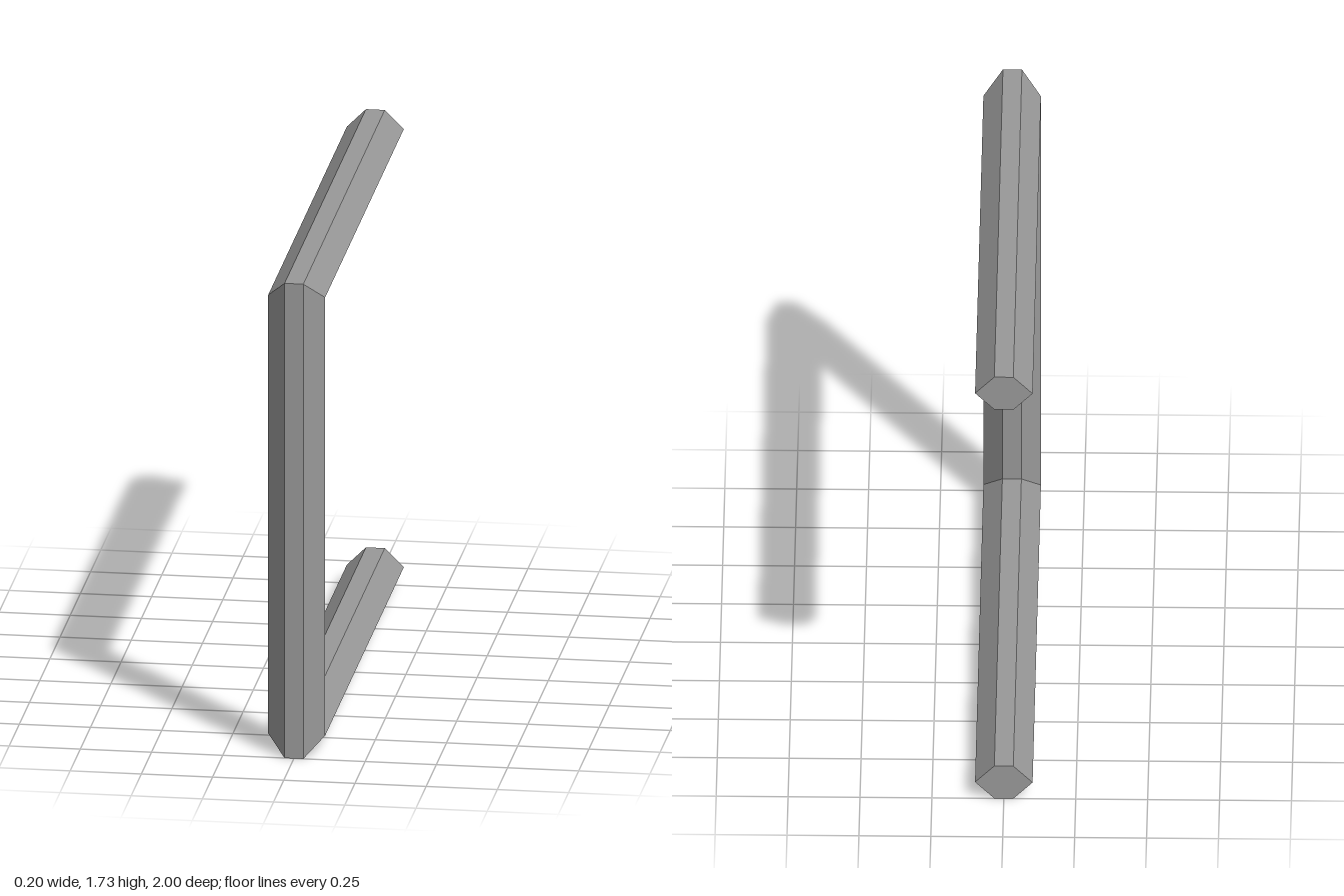
import * as THREE from 'three';

const HEIGHT = 1.733;

// Hexagonal section: [x, inset from the outer face of the frame]
const SECTION = [
  [-0.033, 0], [0.033, 0], [0.1, 0.0667],
  [0.033, 0.1333], [-0.033, 0.1333], [-0.1, 0.0667],
];

// Section rings along the frame; the corner rings are mitred at 45 degrees
const RINGS = [
  (x, d) => [x, HEIGHT - d, -1],
  (x, d) => [x, HEIGHT - d, 1 - d],
  (x, d) => [x, d, 1 - d],
  (x, d) => [x, d, -1],
].map((place) => SECTION.map(([x, d]) => place(x, d)));

// One straight bar between two rings, with optional end caps
function barGeometry(a, b, capStart, capEnd) {
  const positions = [];
  const tri = (...corners) => corners.forEach((c) => positions.push(...c));
  const n = SECTION.length;
  for (let i = 0; i < n; i++) {
    const j = (i + 1) % n;
    tri(a[i], b[i], b[j]);
    tri(a[i], b[j], a[j]);
  }
  for (let i = 1; i < n - 1; i++) {
    if (capStart) tri(a[0], a[i], a[i + 1]);
    if (capEnd) tri(b[0], b[i + 1], b[i]);
  }
  const geometry = new THREE.BufferGeometry();
  geometry.setAttribute('position', new THREE.Float32BufferAttribute(positions, 3));
  geometry.computeVertexNormals();
  return geometry;
}

export function createModel() {
  const model = new THREE.Group();
  model.name = 'bracketHandle';
  const grey = new THREE.MeshStandardMaterial({ color: 0x999999 });
  grey.name = 'grey';

  // Upper bar, front upright and lower bar
  ['upperBar', 'frontUpright', 'lowerBar'].forEach((name, i) => {
    const mesh = new THREE.Mesh(barGeometry(RINGS[i], RINGS[i + 1], i === 0, i === 2), grey);
    mesh.name = name;
    model.add(mesh);
  });
  return model;
}
